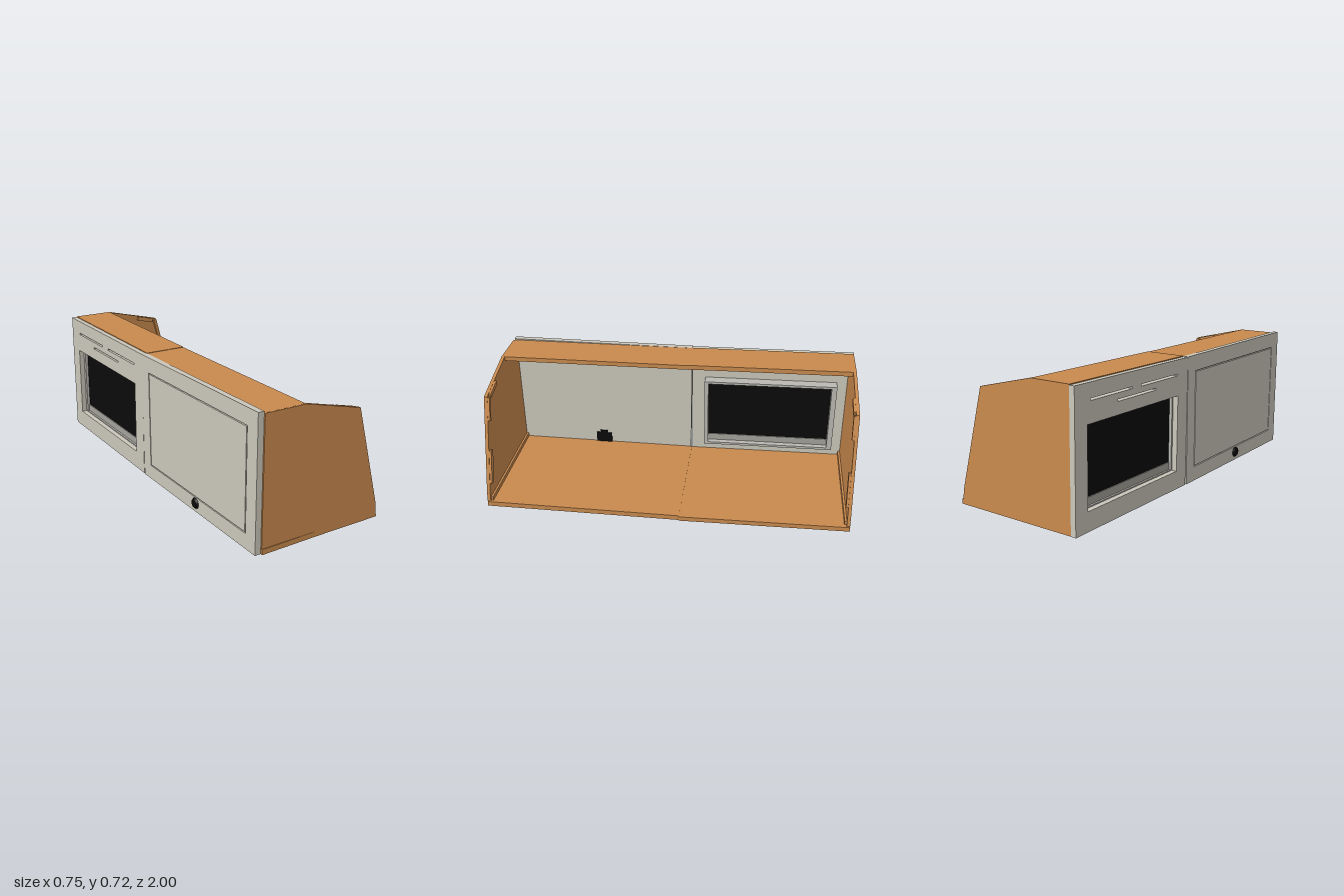
import * as THREE from 'three';

const mat = (name, color) => {
  const m = new THREE.MeshStandardMaterial({ color });
  m.name = name;
  return m;
};

export function createModel() {
  const wood = mat('orange board', 0xc98a4e);
  const grey = mat('warm grey panel', 0xcbc7bb);
  const trim = mat('window frame grey', 0xbab8b2);
  const rail = mat('sill grey', 0xa5a29b);
  const black = mat('black', 0x0a0a0a);

  const model = new THREE.Group();
  model.name = 'openCabinet';

  const add = (parent, name, geo, material) => {
    const m = new THREE.Mesh(geo, material);
    m.name = name;
    parent.add(m);
    return m;
  };
  // Box given by its limits on each axis
  const box = (parent, name, material, x0, x1, y0, y1, z0, z1) => {
    const m = add(parent, name, new THREE.BoxGeometry(x1 - x0, y1 - y0, z1 - z0), material);
    m.position.set((x0 + x1) / 2, (y0 + y1) / 2, (z0 + z1) / 2);
    return m;
  };
  const rect = (P, z0, z1, y0, y1) => {
    const p = new P();
    p.moveTo(z0, y0);
    p.lineTo(z1, y0);
    p.lineTo(z1, y1);
    p.lineTo(z0, y1);
    p.closePath();
    return p;
  };
  // Upright sheet in the z-y plane, with rectangular holes, between x0 and x1
  const sheet = (parent, name, material, x0, x1, outer, holes) => {
    const s = rect(THREE.Shape, ...outer);
    holes.forEach((h) => s.holes.push(rect(THREE.Path, ...h)));
    const g = new THREE.ExtrudeGeometry(s, { depth: x1 - x0, bevelEnabled: false });
    g.rotateY(-Math.PI / 2);
    g.translate(x1, 0, 0);
    return add(parent, name, g, material);
  };
  // End board: sloped front edge, with cleats and edge tabs on its inner face
  const endBoard = (parent, name, z, inward, top) => {
    const t = 0.018;
    const end = new THREE.Group();
    end.name = name;
    end.position.z = z;
    parent.add(end);
    const s = new THREE.Shape();
    [[-0.335, 0], [0.37, 0], [0.36, 0.08], [0.215, top - 0.08], [-0.11, top], [-0.335, top]]
      .forEach(([x, y], i) => (i ? s.lineTo(x, y) : s.moveTo(x, y)));
    s.closePath();
    const g = new THREE.ExtrudeGeometry(s, { depth: t, bevelEnabled: false });
    g.translate(0, 0, inward > 0 ? 0 : -t);
    add(end, name + 'Board', g, wood);
    const tab = (label, x, y, len, width, angle) => {
      const m = add(end, label, new THREE.BoxGeometry(len, width, 0.012), wood);
      m.position.set(x, y, inward * (t + 0.006));
      m.rotation.z = angle;
    };
    const lean = Math.atan2(top - 0.16, -0.145);
    tab('bottomCleat', 0.01, 0.04, 0.69, 0.022, 0);
    tab('lowerEdgeTab', 0.303, 0.22, 0.19, 0.03, lean);
    tab('upperEdgeTab', 0.223, top - 0.15, 0.13, 0.02, lean);
    tab('topEdgeTab', 0.135, top - 0.075, 0.11, 0.025, -0.242);
    return end;
  };

  // --- Plain half, towards +z ---
  const plain = new THREE.Group();
  plain.name = 'plainHalf';
  model.add(plain);
  box(plain, 'floor', wood, -0.335, 0.37, 0, 0.028, -0.08, 0.99);
  const roof = box(plain, 'roof', wood, -0.335, -0.11, 0.671, 0.696, -0.08, 0.98);
  roof.rotation.x = 0.007;
  endBoard(plain, 'leftEnd', 0.99, -1, 0.692).rotation.y = -0.014;

  // Back panel with a fine rectangular groove outside
  box(plain, 'backPanel', grey, -0.358, -0.335, 0, 0.7, -0.075, 0.978);
  sheet(plain, 'backPanelBorder', grey, -0.367, -0.358, [-0.075, 0.978, 0, 0.7], [[0, 0.9, 0.08, 0.615]]);
  box(plain, 'backPanelCentre', grey, -0.367, -0.358, 0.086, 0.609, 0.006, 0.894);

  // Cable outlet through the back panel
  const disc = add(plain, 'outletCap', new THREE.CylinderGeometry(0.022, 0.03, 0.012, 24), black);
  disc.rotation.z = Math.PI / 2;
  disc.position.set(-0.372, 0.048, 0.465);
  box(plain, 'outletBody', black, -0.336, -0.328, 0.028, 0.09, 0.42, 0.515);
  box(plain, 'outletTop', black, -0.336, -0.328, 0.09, 0.106, 0.445, 0.492);

  // --- Window half, towards -z, tipped up slightly; local z runs 0 to -0.92 ---
  const half = new THREE.Group();
  half.name = 'windowHalf';
  half.position.z = -0.08;
  half.rotation.x = 0.0145;
  model.add(half);
  box(half, 'floor', wood, -0.335, 0.376, 0, 0.026, -0.918, 0);
  box(half, 'roof', wood, -0.335, -0.11, 0.676, 0.702, -0.918, 0);
  endBoard(half, 'rightEnd', -0.918, 1, 0.702);

  // Back panel with a window opening and three vent slots
  sheet(half, 'windowPanel', grey, -0.365, -0.336, [-0.92, -0.004, 0, 0.698], [
    [-0.832, -0.094, 0.1, 0.508],
    [-0.81, -0.495, 0.614, 0.624],
    [-0.42, -0.1, 0.614, 0.624],
    [-0.61, -0.295, 0.573, 0.583],
  ]);

  // Window frame standing proud inside, dark screen and sill
  sheet(half, 'windowFrame', trim, -0.336, -0.275, [-0.842, -0.082, 0.092, 0.516], [[-0.812, -0.104, 0.106, 0.502]]);
  box(half, 'windowScreen', black, -0.32, -0.312, 0.145, 0.502, -0.812, -0.104);
  box(half, 'windowSill', rail, -0.325, -0.307, 0.104, 0.146, -0.814, -0.102);

  return model;
}
